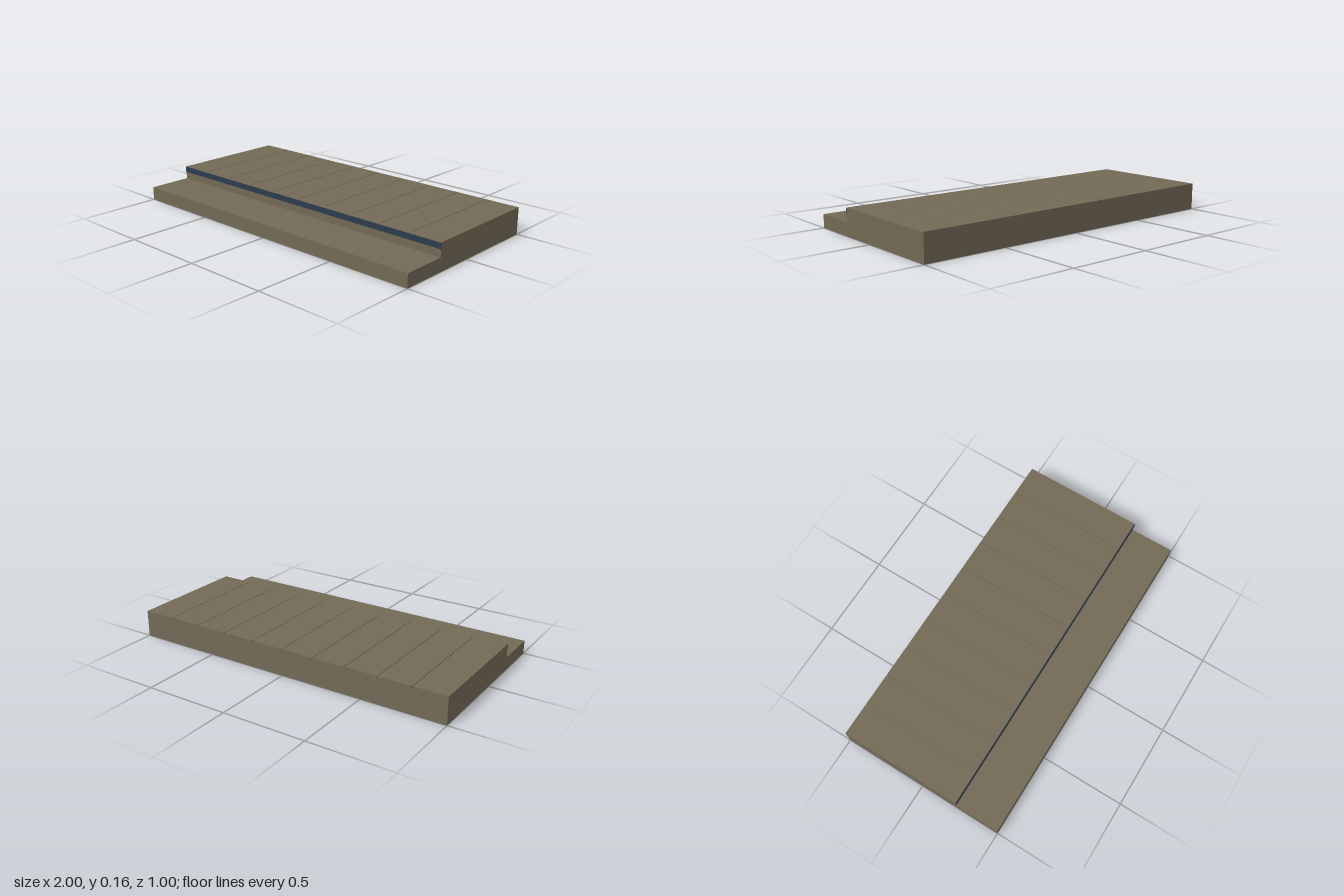
import * as THREE from 'three';

export function createModel() {
  const model = new THREE.Group();
  const stone = new THREE.MeshStandardMaterial({ color: 0x736956 });
  stone.name = 'stone';
  const edging = new THREE.MeshStandardMaterial({ color: 0x2c3c4e });
  edging.name = 'dark blue edging';

  // Box given by its lower and upper corners
  function box(name, material, [x0, y0, z0], [x1, y1, z1], parent = model) {
    const mesh = new THREE.Mesh(new THREE.BoxGeometry(x1 - x0, y1 - y0, z1 - z0), material);
    mesh.position.set((x0 + x1) / 2, (y0 + y1) / 2, (z0 + z1) / 2);
    mesh.name = name;
    parent.add(mesh);
    return mesh;
  }

  const stepZ = 0.234, slabY = 0.148, topY = 0.16;

  // Low step at the front and the raised platform behind it
  box('lowerStep', stone, [-1, 0, stepZ], [1, 0.08, 0.5]);
  box('platformBase', stone, [-1, 0, -0.5], [1, slabY, stepZ]);

  // Ten top slabs with narrow joints, closed by a front border
  const slabs = new THREE.Group();
  slabs.name = 'topSlabs';
  model.add(slabs);
  const gap = 0.002, borderZ = 0.215;
  for (let i = 0; i < 10; i++) {
    const x = -1 + i * 0.2;
    box('slab', stone,
      [x + (i > 0 ? gap : 0), slabY, -0.5],
      [x + 0.2 - (i < 9 ? gap : 0), topY, borderZ], slabs);
  }
  box('slabBorder', stone, [-1, slabY, borderZ], [1, topY, stepZ], slabs);

  // Thin edging along the lip of the platform
  box('edgeStrip', edging, [-1, 0.125, stepZ], [1, 0.158, stepZ + 0.004]);

  return model;
}
